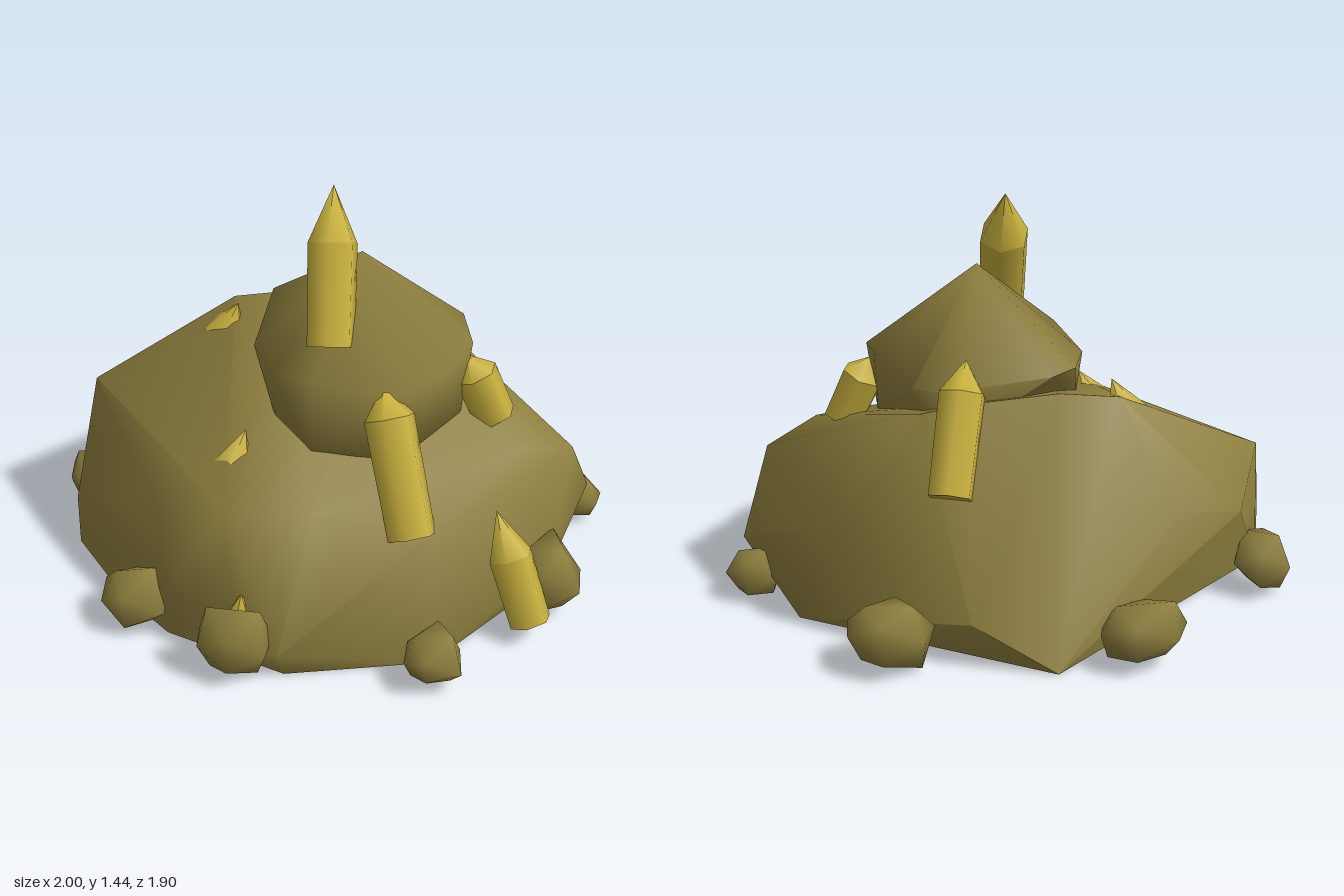
import * as THREE from 'three';
import { mergeVertices, toCreasedNormals } from 'three/addons/utils/BufferGeometryUtils.js';
import { ConvexGeometry } from 'three/addons/geometries/ConvexGeometry.js';

const rock = new THREE.MeshStandardMaterial({ color: 0x8e7f3e, side: THREE.DoubleSide });
rock.name = 'olive rock';
const crystalYellow = new THREE.MeshStandardMaterial({ color: 0xc8b03e });
crystalYellow.name = 'yellow crystal';

const V = (p) => new THREE.Vector3(...p);

// Small repeatable random generator
function seeded(seed) {
  let s = seed * 7919 + 17;
  return () => (s = (s * 16807) % 2147483647) / 2147483647;
}

// Smooth-shaded boulder wrapped around a few corner points
function boulder(name, points, crease, openBase) {
  let geo = new ConvexGeometry(points.map(V));
  if (openBase) {
    const src = geo.attributes.position;
    const kept = [];
    for (let i = 0; i < src.count; i += 3) {
      if (Math.max(src.getY(i), src.getY(i + 1), src.getY(i + 2)) < 0.01) continue;
      for (let k = i; k < i + 3; k++) kept.push(src.getX(k), src.getY(k), src.getZ(k));
    }
    geo = new THREE.BufferGeometry();
    geo.setAttribute('position', new THREE.Float32BufferAttribute(kept, 3));
  }
  const mesh = new THREE.Mesh(toCreasedNormals(geo, crease), rock);
  mesh.name = name;
  return mesh;
}

// Irregular pebble fitted to a centre and a size
function pebble(seed, centre, size) {
  const rnd = seeded(seed);
  let geo = new THREE.IcosahedronGeometry(1, 0);
  geo.deleteAttribute('normal');
  geo.deleteAttribute('uv');
  geo = mergeVertices(geo);
  const p = geo.attributes.position;
  for (let i = 0; i < p.count; i++) {
    const k = 0.8 + 0.45 * rnd();
    p.setXYZ(i, p.getX(i) * k, p.getY(i) * k, p.getZ(i) * k);
  }
  geo.center();
  const box = geo.boundingBox.getSize(new THREE.Vector3());
  geo.scale(size[0] / box.x, size[1] / box.y, size[2] / box.z);
  geo.computeVertexNormals();
  const mesh = new THREE.Mesh(geo, rock);
  mesh.name = 'pebble';
  mesh.position.set(...centre);
  return mesh;
}

// Six-sided crystal from the centre of its foot to its tip
function crystal(foot, tip, radius, tipLength) {
  const group = new THREE.Group();
  group.name = 'crystal';
  const axis = V(tip).sub(V(foot));
  const length = axis.length() - tipLength;
  const shaft = new THREE.Mesh(new THREE.CylinderGeometry(radius, radius * 0.95, length, 6), crystalYellow);
  shaft.name = 'crystalShaft';
  shaft.position.y = length / 2;
  const point = new THREE.Mesh(new THREE.ConeGeometry(radius, tipLength, 6, 1, true), crystalYellow);
  point.name = 'crystalPoint';
  point.position.y = length + tipLength / 2;
  group.add(shaft, point);
  group.position.set(...foot);
  group.quaternion.setFromUnitVectors(new THREE.Vector3(0, 1, 0), axis.normalize());
  return group;
}

export function createModel() {
  const model = new THREE.Group();
  model.name = 'crystalRock';

  // Broad mound, open underneath, overhanging its foot at the back
  model.add(boulder('mound', [
    // foot
    [-0.25, 0, -0.79], [0.7, 0, -0.48], [0.84, 0, 0.12], [0.53, 0, 0.65],
    [0.05, 0, 0.82], [-0.4, 0, 0.69], [-0.62, 0, 0.52], [-0.87, 0, 0.24],
    // belly
    [0.04, 0.16, -0.79], [0.52, 0.4, -0.58], [0.95, 0.2, -0.26], [0.88, 0.15, 0.18],
    [0.04, 0.11, 0.87], [-0.12, 0.2, 0.82], [-0.4, 0.2, 0.7], [-0.87, 0.2, 0.24],
    [-0.82, 0.4, -0.27], [-0.62, 0.45, -0.43],
    // shoulder
    [0.9, 0.48, -0.07], [0.75, 0.55, 0.08], [0.5, 0.44, 0.51], [0.1, 0.53, 0.61], [-0.19, 0.53, 0.66],
    [-0.5, 0.44, 0.47],
    // ridge
    [-0.86, 0.56, -0.02], [-0.4, 0.81, -0.3], [-0.2, 0.83, -0.35], [0.12, 0.8, -0.42], [0.27, 0.77, -0.455],
  ], 1.1, true));

  // Smaller boulder on top
  model.add(boulder('topBoulder', [
    [0.13, 1.19, -0.05], [0, 1.06, -0.02],
    [-0.24, 0.89, -0.25], [-0.17, 0.88, -0.33], [0.18, 0.84, -0.42], [0.3, 0.84, -0.4], [0.47, 0.9, -0.2],
    [0.53, 0.88, -0.04], [0.47, 0.86, 0.15], [0.34, 0.85, 0.34], [0.05, 0.9, 0.38], [-0.1, 0.88, 0.31],
    [-0.23, 0.84, 0.08], [-0.22, 0.72, -0.05], [0.5, 0.6, 0], [0.33, 0.58, 0.3], [0.04, 0.6, 0.35],
    [-0.12, 0.64, 0.22], [0.2, 0.62, -0.35], [0.14, 0.42, 0],
  ], 1.4, false));

  // Crystals: foot, tip, radius, length of the point
  [
    [[0.08, 0.96, 0.23], [0.03, 1.44, -0.04], 0.09, 0.2],
    [[0.43, 0.43, 0.53], [0.28, 0.88, 0.31], 0.09, 0.11],
    [[0.14, 0.53, -0.6], [0.12, 0.94, -0.36], 0.085, 0.12],
    [[0.62, 0.59, -0.04], [0.51, 0.83, -0.04], 0.08, 0.08],
    [[0.84, 0.07, 0.44], [0.69, 0.45, 0.34], 0.078, 0.17],
    [[-0.51, 0.48, -0.2], [-0.36, 0.84, -0.2], 0.08, 0.14],
    [[-0.31, 0.25, 0.54], [-0.19, 0.67, 0.36], 0.08, 0.15],
    [[-0.13, 0.06, 0.76], [-0.1, 0.3, 0.8], 0.065, 0.14],
  ].forEach((c) => model.add(crystal(...c)));

  // Pebbles around the foot: centre, size
  [
    [[-0.9, 0.12, -0.03], [0.2, 0.22, 0.23]],
    [[-0.53, 0.12, 0.64], [0.26, 0.23, 0.24]],
    [[-0.12, 0.15, 0.855], [0.26, 0.26, 0.19]],
    [[0.555, 0.105, 0.74], [0.21, 0.19, 0.24]],
    [[0.87, 0.135, 0.25], [0.25, 0.25, 0.26]],
    [[0.9, 0.1, -0.33], [0.19, 0.18, 0.16]],
    [[0.32, 0.12, -0.825], [0.3, 0.22, 0.25]],
    [[-0.52, 0.12, -0.66], [0.28, 0.22, 0.3]],
  ].forEach(([centre, size], i) => model.add(pebble(i + 1, centre, size)));

  return model;
}
